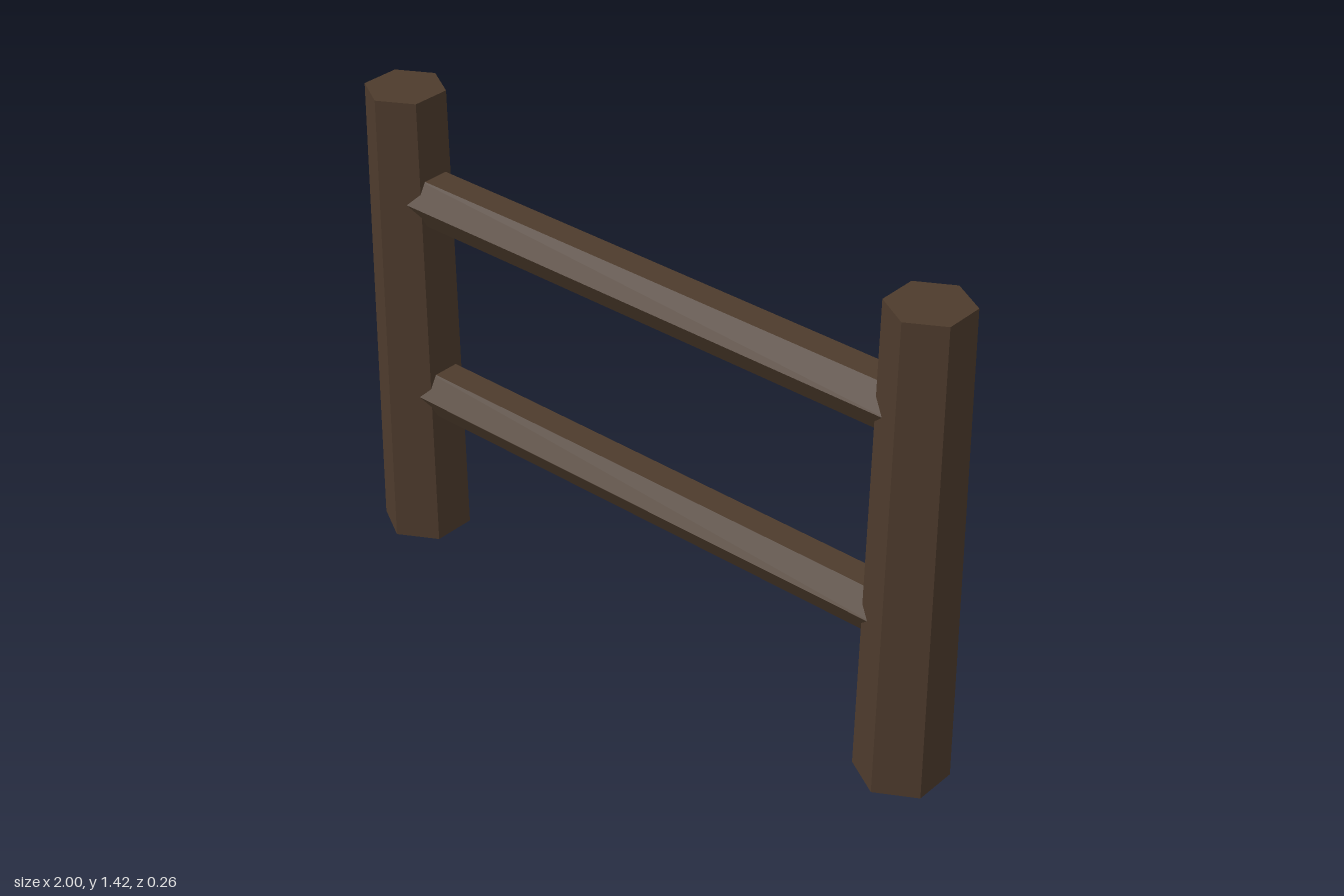
import * as THREE from 'three';

const POST_X = 0.887;
const POST_HEIGHT = 1.42;

export function createModel() {
  const group = new THREE.Group();
  group.name = 'fence';
  const wood = new THREE.MeshStandardMaterial({ color: 0x4d3b2c, flatShading: true });
  wood.name = 'dark brown wood';

  // Tapered six-sided posts, corners facing front and back
  const postGeometry = new THREE.CylinderGeometry(0.115, 0.13, POST_HEIGHT, 6);
  for (const [name, side] of [['leftPost', 1], ['rightPost', -1]]) {
    const post = new THREE.Mesh(postGeometry, wood);
    post.name = name;
    post.position.set(side * POST_X, POST_HEIGHT / 2, 0);
    group.add(post);
  }

  // Six-sided rails, flat on top, running into the posts
  const railGeometry = new THREE.CylinderGeometry(0.08, 0.08, POST_X * 2, 6);
  railGeometry.rotateZ(Math.PI / 2);
  for (const [name, y] of [['upperRail', 1.11], ['lowerRail', 0.49]]) {
    const rail = new THREE.Mesh(railGeometry, wood);
    rail.name = name;
    rail.position.y = y;
    group.add(rail);
  }

  return group;
}
